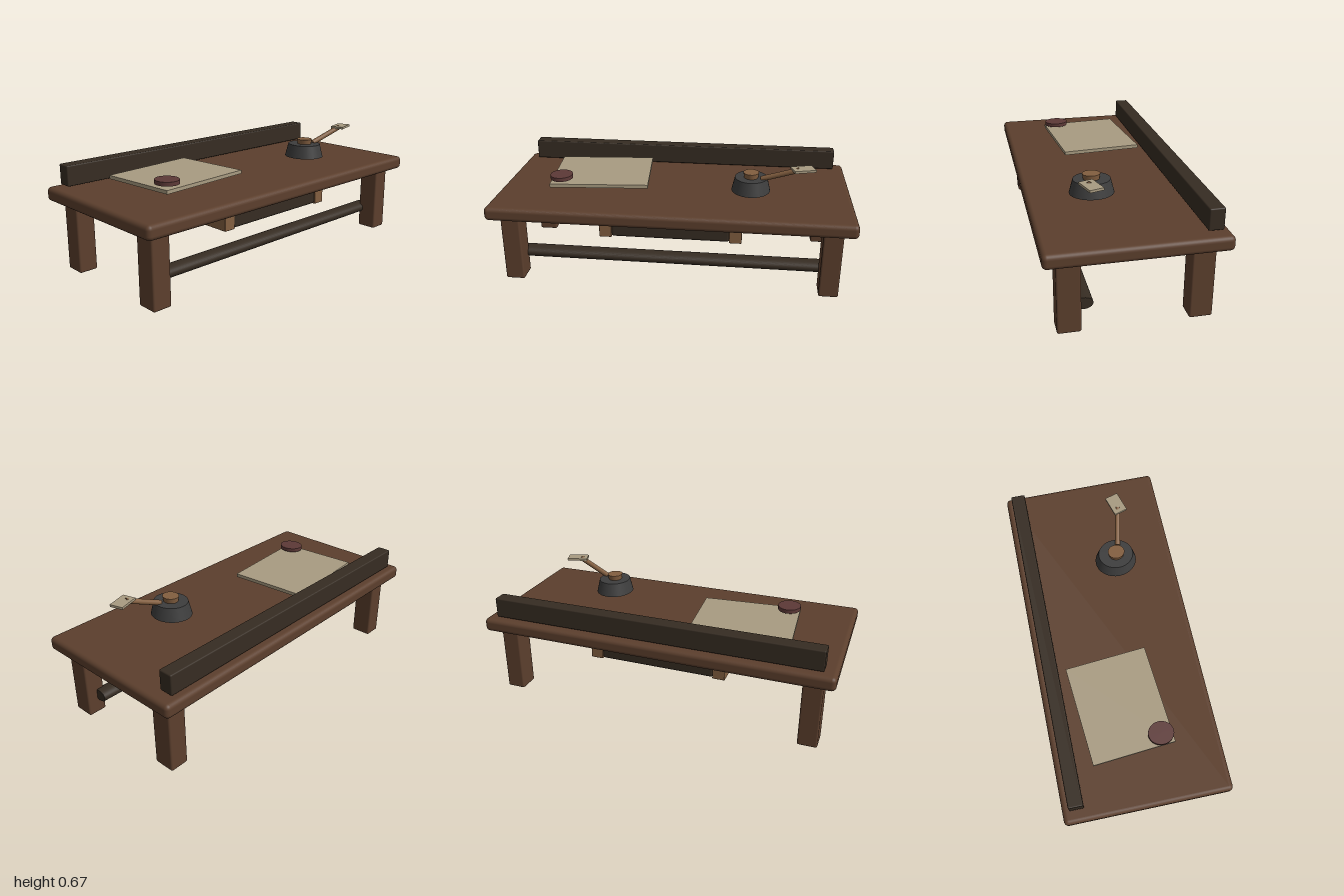
import * as THREE from 'three';
import { RoundedBoxGeometry } from 'three/addons/geometries/RoundedBoxGeometry.js';

function material(name, color) {
  const m = new THREE.MeshStandardMaterial({ color });
  m.name = name;
  return m;
}

export function createModel() {
  const wood = material('brown wood', 0x5c3f2d);
  const darkWood = material('dark wood', 0x362c22);
  const lightWood = material('light wood', 0x835f40);
  const paper = material('paper', 0xa89b81);
  const iron = material('iron', 0x3d3d3d);
  const wax = material('red wax', 0x5d3937);

  const group = new THREE.Group();
  group.name = 'writingDesk';

  function add(name, geometry, mat, x, y, z) {
    const mesh = new THREE.Mesh(geometry, mat);
    mesh.name = name;
    mesh.position.set(x, y, z);
    group.add(mesh);
    return mesh;
  }
  // Softened box given by its size and centre
  const block = (name, mat, [w, h, d], [x, y, z], r) =>
    add(name, new RoundedBoxGeometry(w, h, d, 3, r), mat, x, y, z);

  // Table top and back ledge
  block('tableTop', wood, [2, 0.077, 0.916], [0, 0.426, 0], 0.024);
  block('backLedge', darkWood, [1.866, 0.114, 0.08], [0, 0.53, -0.38], 0.007);

  // Legs and the side panels that carry the drawer
  for (const s of [-1, 1]) {
    for (const f of [-1, 1]) {
      block(f > 0 ? 'frontLeg' : 'backLeg', wood, [0.107, 0.388, 0.12], [s * 0.882, 0.194, f * 0.33], 0.01);
    }
    block('drawerRunner', lightWood, [0.07, 0.14, 0.61], [s * 0.364, 0.324, 0], 0.004);
  }
  block('drawer', darkWood, [0.664, 0.134, 0.606], [0, 0.324, 0], 0.016);

  // Oval foot rail just behind the front legs
  const rail = new THREE.CylinderGeometry(1, 1, 1.75, 32);
  rail.rotateZ(Math.PI / 2);
  rail.scale(1, 0.032, 0.05);
  add('footRail', rail, darkWood, 0, 0.118, 0.25);

  // Paper stack and wax disc
  add('paperStack', new THREE.BoxGeometry(0.556, 0.02, 0.458), paper, -0.438, 0.509, -0.045).rotation.y = 0.083;
  add('waxDisc', new THREE.CylinderGeometry(0.07, 0.07, 0.022, 32), wax, -0.642, 0.545, 0.137).scale.x = 0.9;

  // Ink pot with stopper
  add('inkPot', new THREE.CylinderGeometry(0.1, 0.12, 0.076, 32), iron, 0.435, 0.542, 0.118).scale.x = 0.9;
  add('stopper', new THREE.CylinderGeometry(0.048, 0.043, 0.032, 24), lightWood, 0.434, 0.593, 0.12).scale.x = 0.9;

  // Slanted handle with a flat plate at its tip
  const a = new THREE.Vector3(0.49, 0.58, 0.14);
  const b = new THREE.Vector3(0.69, 0.656, 0.182);
  const dir = b.clone().sub(a);
  const mid = a.clone().add(b).multiplyScalar(0.5);
  const handle = add('handle', new THREE.CylinderGeometry(0.015, 0.015, dir.length(), 16), lightWood, mid.x, mid.y, mid.z);
  handle.quaternion.setFromUnitVectors(new THREE.Vector3(0, 1, 0), dir.normalize());
  add('handlePlate', new THREE.BoxGeometry(0.12, 0.013, 0.077), paper, 0.712, 0.658, 0.177).rotation.y = 0.29;

  return group;
}
